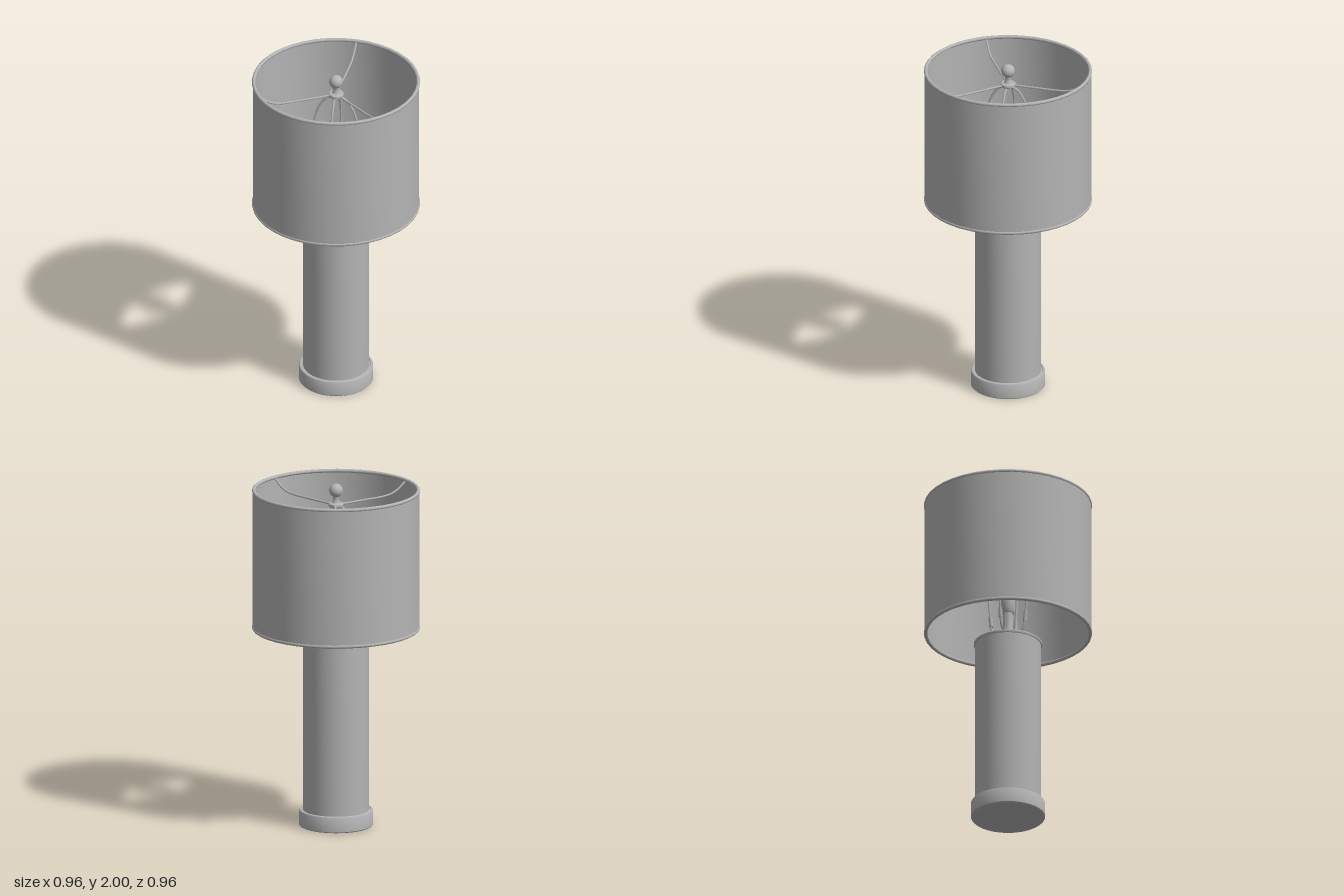
import * as THREE from 'three';
import { toCreasedNormals } from 'three/addons/utils/BufferGeometryUtils.js';

export function createModel() {
  const lamp = new THREE.Group();
  lamp.name = 'tableLamp';
  const grey = new THREE.MeshStandardMaterial({ color: 0xb4b4b4 });
  grey.name = 'plainGrey';

  function add(name, geometry, parent = lamp) {
    const mesh = new THREE.Mesh(geometry, grey);
    mesh.name = name;
    parent.add(mesh);
    return mesh;
  }
  // Turned part from [radius, height] pairs, listed from bottom to top on the outside
  function turned(name, profile, segments = 40) {
    const points = profile.map(([r, y]) => new THREE.Vector2(r, y));
    return add(name, toCreasedNormals(new THREE.LatheGeometry(points, segments), 0.6));
  }
  function wire(name, points, radius, parent) {
    const curve = new THREE.CatmullRomCurve3(points.map(p => new THREE.Vector3(...p)));
    return add(name, new THREE.TubeGeometry(curve, 32, radius, 8), parent);
  }

  // Base, column and its thin top plate
  turned('base', [[0, 0], [0.206, 0], [0.212, 0.006], [0.212, 0.086], [0.208, 0.093], [0.198, 0.095], [0.195, 0.091], [0, 0.091]], 48);
  turned('column', [[0, 0.09], [0.188, 0.09], [0.188, 1.084], [0, 1.084]], 48);
  turned('columnCap', [[0, 1.078], [0.193, 1.078], [0.195, 1.083], [0.195, 1.091], [0.191, 1.095], [0, 1.095]], 48);

  // Neck, socket and bulb
  turned('neck', [[0, 1.093], [0.042, 1.093], [0.047, 1.105], [0.044, 1.12], [0.032, 1.133], [0.028, 1.145], [0.028, 1.3], [0, 1.3]], 24);
  turned('socket', [[0, 1.28], [0.034, 1.28], [0.042, 1.3], [0.042, 1.4], [0.036, 1.41], [0, 1.41]], 24);
  turned('bulb', [[0, 1.4], [0.034, 1.4], [0.036, 1.44], [0.052, 1.49], [0.072, 1.545], [0.078, 1.59],
    [0.072, 1.63], [0.055, 1.658], [0.03, 1.674], [0, 1.678]], 24);

  // Drum shade: thin wall with a rolled trim at each end
  turned('shade', [[0.466, 1.158], [0.475, 1.158], [0.475, 1.962], [0.466, 1.962], [0.466, 1.158]], 40);
  for (const [name, y] of [['topTrim', 1.96], ['bottomTrim', 1.16]]) {
    const trim = add(name, new THREE.TorusGeometry(0.469, 0.0105, 10, 40));
    trim.rotation.x = Math.PI / 2;
    trim.position.y = y;
  }

  // Two crossed harps, each made of two mirrored bowed arms
  for (let i = 0; i < 4; i++) {
    const arm = new THREE.Group();
    arm.name = 'harpArm';
    arm.rotation.y = i * Math.PI / 2;
    lamp.add(arm);
    wire('harpWire', [[0.02, 1.152, 0], [0.075, 1.154, 0], [0.1, 1.19, 0], [0.112, 1.3, 0], [0.132, 1.52, 0],
      [0.13, 1.66, 0], [0.105, 1.77, 0], [0.06, 1.845, 0], [0.015, 1.868, 0]], 0.0065, arm);
    const ferrule = add('harpFerrule', new THREE.CylinderGeometry(0.011, 0.011, 0.06, 12), arm);
    ferrule.position.set(0.107, 1.245, 0);
    ferrule.rotation.z = -0.1;
  }

  // Hub, stem and ball finial
  turned('hub', [[0, 1.864], [0.036, 1.864], [0.044, 1.87], [0.044, 1.884], [0.036, 1.89], [0, 1.89]], 24);
  turned('finialStem', [[0, 1.885], [0.026, 1.885], [0.018, 1.9], [0.018, 1.925], [0.024, 1.94], [0, 1.94]], 20);
  add('finialBall', new THREE.SphereGeometry(0.039, 24, 16)).position.y = 1.961;

  // Three spokes dip from the shade's top trim to the hub
  for (const [x, z] of [[0.012, -0.467], [-0.39, 0.255], [0.355, 0.3]]) {
    const at = (t, y) => [x * t, y, z * t];
    wire('shadeSpoke', [at(0.06, 1.877), at(0.4, 1.88), at(0.75, 1.888), at(0.87, 1.908), at(1, 1.955)], 0.006);
  }

  return lamp;
}
